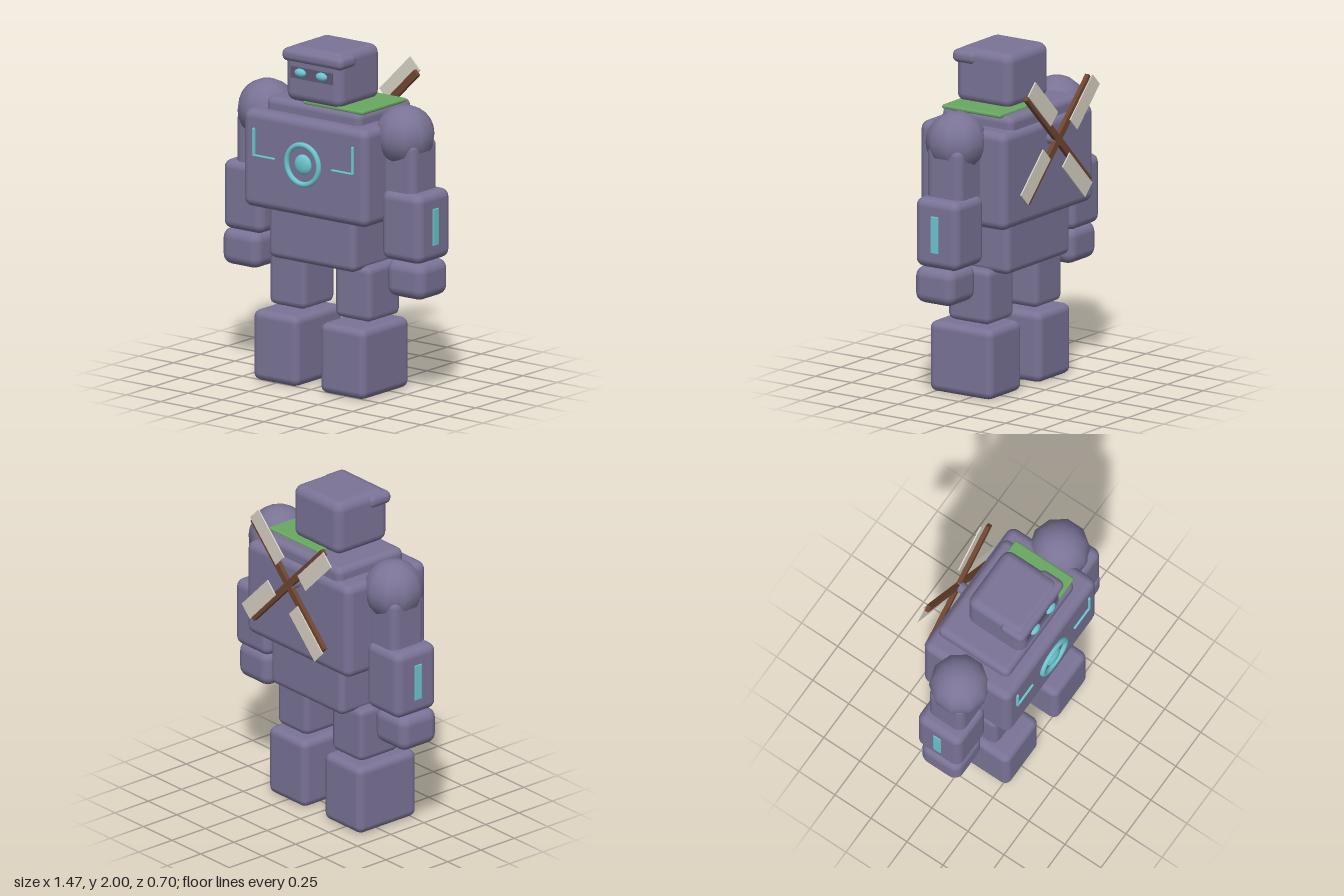
import * as THREE from 'three';
import { RoundedBoxGeometry } from 'three/addons/geometries/RoundedBoxGeometry.js';

function material(name, color) {
  const m = new THREE.MeshStandardMaterial({ color });
  m.name = name;
  return m;
}

export function createModel() {
  const root = new THREE.Group();
  root.name = 'golem';
  const stone = material('purpleStone', 0x7a7396);
  const dark = material('darkStone', 0x5e5874);
  const glow = material('cyanGlow', 0x6cc6ce);
  const green = material('mossGreen', 0x69a862);
  const wood = material('brownWood', 0x6e4632);
  const cloth = material('creamCloth', 0xd8d1c4);

  function add(name, geometry, mat, x, y, z, parent = root) {
    const mesh = new THREE.Mesh(geometry, mat);
    mesh.name = name;
    mesh.position.set(x, y, z);
    parent.add(mesh);
    return mesh;
  }
  // Rounded block given by its ranges along x, y and z
  function block(name, [x0, x1], [y0, y1], [z0, z1], r, mat = stone, segments = 3) {
    const g = new RoundedBoxGeometry(x1 - x0, y1 - y0, z1 - z0, segments, r);
    return add(name, g, mat, (x0 + x1) / 2, (y0 + y1) / 2, (z0 + z1) / 2);
  }

  // Body
  block('torso', [-0.45, 0.45], [1.03, 1.605], [-0.28, 0.32], 0.05);
  block('collar', [-0.343, 0.343], [1.5, 1.677], [-0.253, 0.24], 0.04);
  block('pelvis', [-0.315, 0.315], [0.735, 1.1], [-0.21, 0.255], 0.04);
  block('mossPatch', [-0.08, 0.355], [1.667, 1.692], [-0.185, 0.225], 0.011, green, 2);

  // Head
  block('head', [-0.204, 0.204], [1.675, 2.0], [-0.143, 0.243], 0.055);
  block('brow', [-0.22, 0.22], [1.908, 1.985], [0.094, 0.256], 0.034);
  add('eyeSlot', new THREE.BoxGeometry(0.305, 0.068, 0.008), dark, 0, 1.853, 0.243);

  // Chest core
  add('chestRing', new THREE.TorusGeometry(0.116, 0.016, 10, 40), glow, 0, 1.343, 0.327);
  add('chestCore', new THREE.SphereGeometry(0.06, 24, 16), glow, 0, 1.343, 0.322).scale.z = 0.42;

  for (const s of [-1, 1]) {
    const side = s > 0 ? 'left' : 'right';
    const span = (a, b) => (s > 0 ? [a, b] : [-b, -a]);

    add(side + 'Eye', new THREE.SphereGeometry(0.04, 16, 12), glow, s * 0.077, 1.857, 0.25)
      .scale.set(1, 0.62, 0.55);

    // Chest line marks
    block(side + 'ChestMarkUpright', span(0.35, 0.368), [1.34, 1.505], [0.31, 0.332], 0.008, glow, 2);
    block(side + 'ChestMarkBar', span(0.205, 0.366), [1.337, 1.349], [0.31, 0.332], 0.005, glow, 2);

    // Arm
    add(side + 'Shoulder', new THREE.SphereGeometry(0.176, 10, 12), stone, s * 0.5, 1.536, 0.02)
      .rotation.y = Math.PI / 2;
    block(side + 'UpperArm', span(0.41, 0.65), [1.15, 1.53], [-0.107, 0.135], 0.05);
    block(side + 'Forearm', span(0.432, 0.72), [0.825, 1.232], [-0.135, 0.165], 0.05);
    block(side + 'Hand', span(0.463, 0.733), [0.613, 0.828], [-0.106, 0.165], 0.06);
    block(side + 'ForearmPanel', span(0.708, 0.726), [0.92, 1.138], [-0.01, 0.043], 0.004, glow, 1);

    // Leg
    block(side + 'Thigh', span(0.105, 0.372), [0.435, 0.76], [-0.115, 0.18], 0.04, stone, 1);
    block(side + 'Foot', span(0.08, 0.407), [0.005, 0.42], [-0.153, 0.285], 0.045, stone, 2);
  }

  // Windmill on the back
  const mill = new THREE.Group();
  mill.name = 'windmill';
  mill.position.set(0, 1.495, 0);
  root.add(mill);
  add('hub', new THREE.CylinderGeometry(0.033, 0.033, 0.08, 16), stone, 0, 0, -0.3, mill)
    .rotation.x = Math.PI / 2;
  for (let i = 0; i < 4; i++) {
    const blade = new THREE.Group();
    blade.name = 'blade' + (i + 1);
    blade.rotation.z = Math.PI / 4 + i * Math.PI / 2;
    mill.add(blade);
    add('spar', new THREE.BoxGeometry(0.435, 0.042, 0.026), wood, 0.2175, 0, -0.336, blade);
    add('sail', new THREE.BoxGeometry(0.315, 0.1, 0.008), cloth, 0.293, 0.052, -0.352, blade);
  }
  return root;
}
